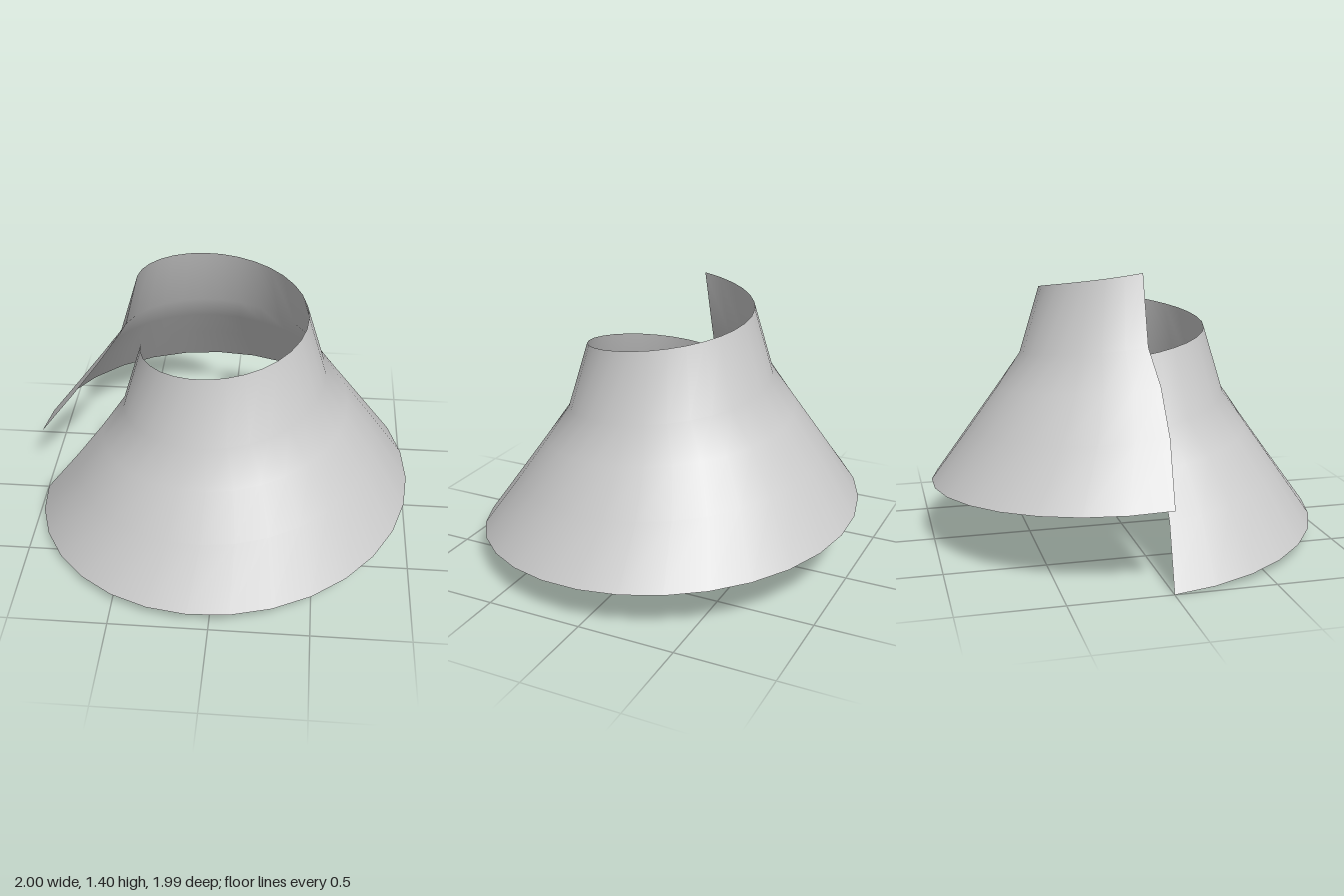
import * as THREE from 'three';

// Profile rows from top to bottom: radius, height, sideways bow of the edge
const PROFILE = [
  [0.427, 1.0, 0],
  [0.53, 0.66, 0],
  [0.65, 0.49, 0.03],
  [0.8, 0.28, 0.032],
  [1.0, 0.0, 0],
];
const SEGMENTS = 30;
const RISE = 0.4; // height gained in one full turn

export function createModel() {
  const group = new THREE.Group();
  group.name = 'spiralCone';

  // Flat grid wrapped once round the axis while climbing
  const rows = PROFILE.length - 1;
  const geometry = new THREE.PlaneGeometry(1, 1, SEGMENTS, rows);
  const pos = geometry.attributes.position;
  for (let j = 0; j <= rows; j++) {
    const [radius, height, bow] = PROFILE[j];
    for (let i = 0; i <= SEGMENTS; i++) {
      const turn = i / SEGMENTS;
      const angle = turn * Math.PI * 2 + bow / radius;
      pos.setXYZ(
        j * (SEGMENTS + 1) + i,
        -radius * Math.cos(angle),
        height + RISE * turn,
        radius * Math.sin(angle)
      );
    }
  }
  geometry.computeVertexNormals();

  // Open sheet, visible from both sides
  const material = new THREE.MeshStandardMaterial({ color: 0xcccccc, side: THREE.DoubleSide });
  const sheet = new THREE.Mesh(geometry, material);
  sheet.name = 'spiralSheet';
  group.add(sheet);
  return group;
}
